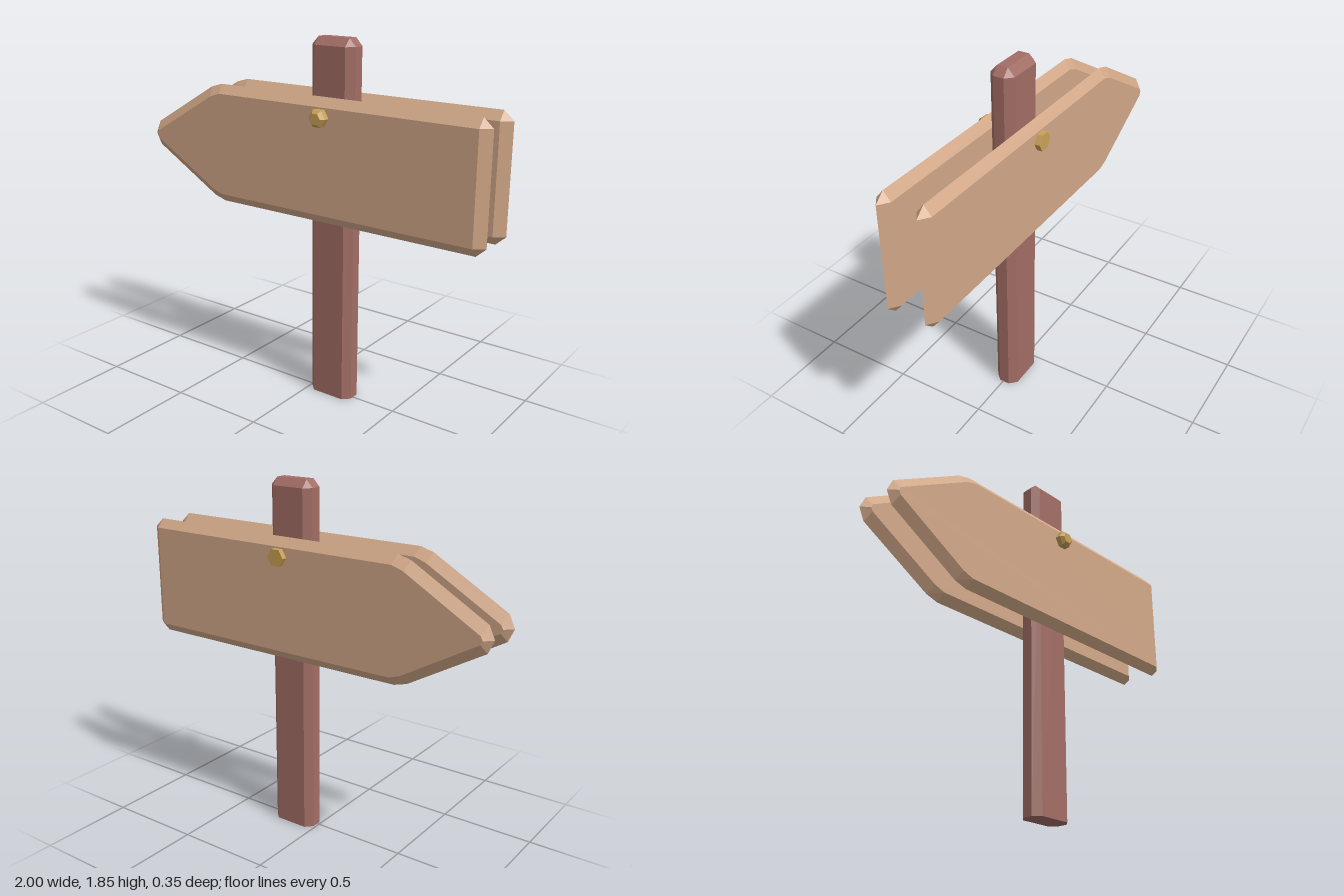
import * as THREE from 'three';

const wood = new THREE.MeshStandardMaterial({ color: 0xd2a888, flatShading: true });
wood.name = 'lightWood';
const darkWood = new THREE.MeshStandardMaterial({ color: 0xa26d65, flatShading: true });
darkWood.name = 'redBrownWood';
const brass = new THREE.MeshStandardMaterial({ color: 0xc9a156, flatShading: true });
brass.name = 'brass';

// Joins convex outlines (anticlockwise seen from +z) stacked at rising z, capped at both ends
function loft(layers) {
  const pos = [];
  const rings = layers.map(([z, pts]) => pts.map(([x, y]) => new THREE.Vector3(x, y, z)));
  const tri = (a, b, c) => {
    const area = b.clone().sub(a).cross(c.clone().sub(a)).length();
    if (area > 1e-8) for (const p of [a, b, c]) pos.push(p.x, p.y, p.z);
  };
  const n = rings[0].length;
  for (let k = 0; k < rings.length - 1; k++) {
    for (let i = 0; i < n; i++) {
      const j = (i + 1) % n, lo = rings[k], hi = rings[k + 1];
      tri(lo[i], lo[j], hi[j]);
      tri(lo[i], hi[j], hi[i]);
    }
  }
  const first = rings[0], last = rings[rings.length - 1];
  for (let i = 1; i < n - 1; i++) {
    tri(last[0], last[i], last[i + 1]);
    tri(first[0], first[i + 1], first[i]);
  }
  const g = new THREE.BufferGeometry();
  g.setAttribute('position', new THREE.Float32BufferAttribute(pos, 3));
  g.computeVertexNormals();
  return g;
}

function part(name, geometry, material, x, y, z) {
  const m = new THREE.Mesh(geometry, material);
  m.name = name;
  m.position.set(x, y, z);
  return m;
}

// Rectangle whose corners are cut: cut 0 along an axis folds the corner points together
function cutRect(w, h, cx, cy) {
  return [
    [w - cx, -h], [w, -h + cy], [w, h - cy], [w - cx, h],
    [-w + cx, h], [-w, h - cy], [-w, -h + cy], [-w + cx, -h],
  ];
}

function hexagon(r) {
  return Array.from({ length: 6 }, (_, i) => [r * Math.cos(i * Math.PI / 3), r * Math.sin(i * Math.PI / 3)]);
}

export function createModel() {
  const sign = new THREE.Group();
  sign.name = 'signpost';

  // Post with bevelled long edges and top
  const w = 0.123, d = 0.0625, c = 0.035;
  const section = cutRect(w, d, c, c);
  const postGeo = loft([[0, section], [1.812, section], [1.85, cutRect(w - c, d - c, 0, 0)]]);
  postGeo.rotateX(-Math.PI / 2);
  sign.add(part('post', postGeo, darkWood, 0.135, 0, -0.0075));

  // Arrow boards: a ridge runs round the middle of the edge
  const ridge = [
    [0.95, 0.96], [1, 1.005], [1, 1.535], [0.95, 1.58], [-0.51, 1.58], [-0.58, 1.56],
    [-0.97, 1.335], [-1, 1.27], [-0.97, 1.205], [-0.58, 0.98], [-0.51, 0.96],
  ];
  const face = [
    [0.95, 1.005], [0.95, 1.005], [0.95, 1.535], [0.95, 1.535], [-0.5, 1.535], [-0.56, 1.515],
    [-0.95, 1.29], [-0.96, 1.27], [-0.95, 1.25], [-0.56, 1.025], [-0.5, 1.005],
  ];
  const boardGeo = loft([[-0.037, face], [0, ridge], [0.037, face]]);
  sign.add(part('frontBoard', boardGeo, wood, 0, 0, 0.091));
  sign.add(part('backBoard', boardGeo, wood, 0, 0, -0.109));

  // Bolt head with a bevelled crown in front, plain nut behind
  const hex = hexagon(0.047);
  const headGeo = loft([[0, hex], [0.035, hex], [0.052, hexagon(0.03)]]);
  sign.add(part('boltHead', headGeo, brass, 0.136, 1.486, 0.122));
  const nutGeo = loft([[0, hex], [0.03, hex]]);
  sign.add(part('boltNut', nutGeo, brass, 0.136, 1.486, -0.174));

  // Shank running through the boards and post
  const shankGeo = new THREE.CylinderGeometry(0.025, 0.025, 0.27, 6).rotateX(Math.PI / 2);
  sign.add(part('boltShank', shankGeo, brass, 0.136, 1.486, -0.01));

  return sign;
}
